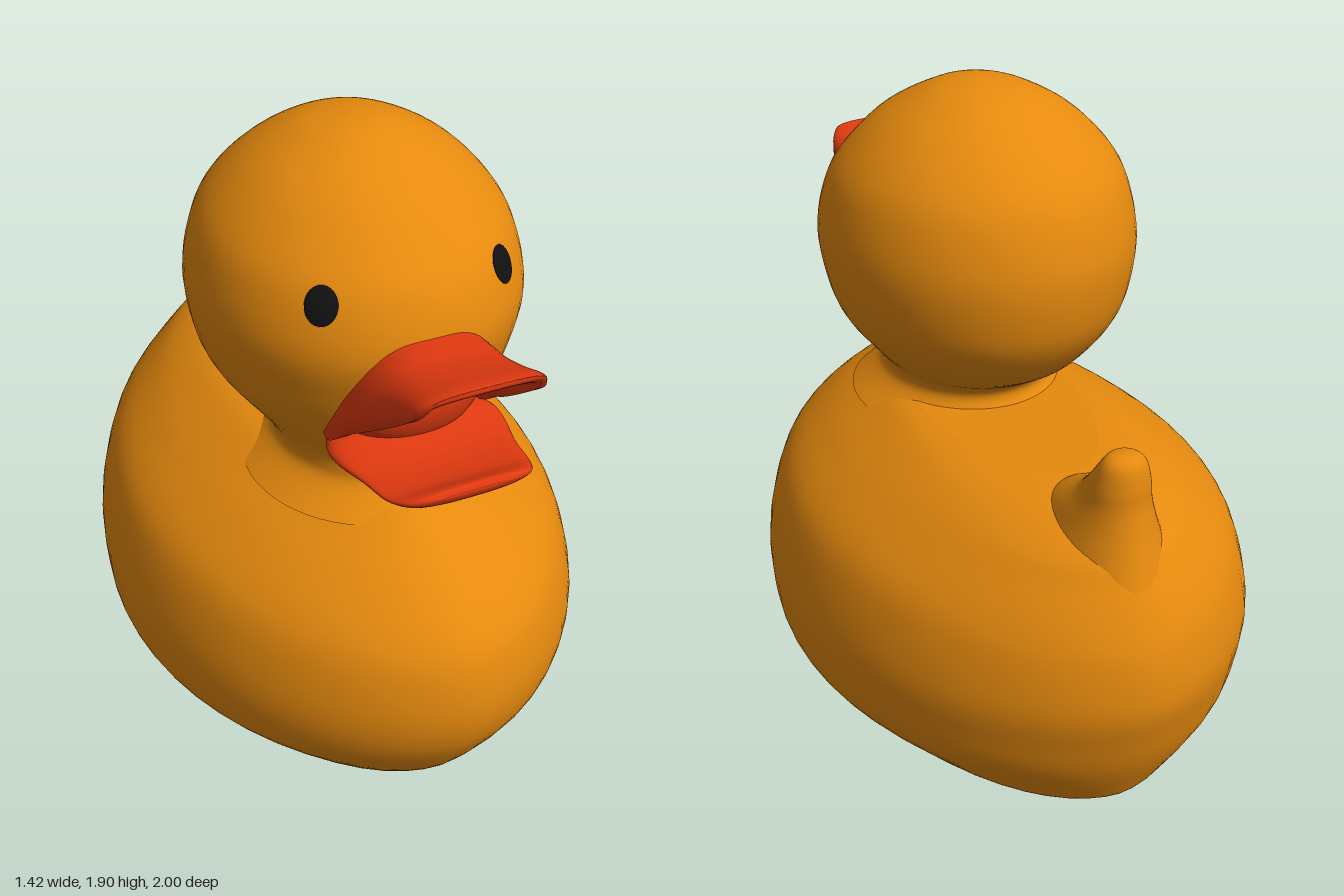
import * as THREE from 'three';

const plumage = new THREE.MeshStandardMaterial({ color: 0xe68a0e });
plumage.name = 'orange yellow';
const beakRed = new THREE.MeshStandardMaterial({ color: 0xe23a10, side: THREE.DoubleSide });
beakRed.name = 'beak red';
const black = new THREE.MeshStandardMaterial({ color: 0x111111 });
black.name = 'black';

// Catmull-Rom resampling of profile rows, column by column
function smoothRows(rows, steps) {
  const out = [];
  const at = (i) => rows[Math.max(0, Math.min(rows.length - 1, i))];
  for (let i = 0; i < rows.length - 1; i++) {
    for (let s = 0; s < steps; s++) {
      const t = s / steps;
      out.push(rows[i].map((p1, k) => {
        const p0 = at(i - 1)[k], p2 = at(i + 1)[k], p3 = at(i + 2)[k];
        return p1 + 0.5 * t * (p2 - p0 + t * (2 * p0 - 5 * p1 + 4 * p2 - p3 + t * (3 * (p1 - p2) + p3 - p0)));
      }));
    }
  }
  out.push(rows[rows.length - 1]);
  return out;
}

// Skin over closed rings of [x, y, z], with optional end caps
function loft(name, rings, material, caps = true) {
  const n = rings[0].length, pos = rings.flat(2), index = [];
  for (let i = 0; i < rings.length - 1; i++) {
    for (let j = 0; j < n; j++) {
      const a = i * n + j, b = i * n + (j + 1) % n;
      index.push(a, a + n, b, b, a + n, b + n);
    }
  }
  if (caps) {
    [rings[0], rings[rings.length - 1]].forEach((ring, end) => {
      const base = pos.length / 3;
      pos.push(...ring.flat());
      pos.push(...[0, 1, 2].map((k) => ring.reduce((sum, p) => sum + p[k], 0) / n));
      for (let j = 0; j < n; j++) {
        const a = base + j, b = base + (j + 1) % n;
        index.push(base + n, end ? b : a, end ? a : b);
      }
    });
  }
  const geo = new THREE.BufferGeometry();
  geo.setAttribute('position', new THREE.Float32BufferAttribute(pos, 3));
  geo.setIndex(index);
  geo.computeVertexNormals();
  const mesh = new THREE.Mesh(geo, material);
  mesh.name = name;
  return mesh;
}

const angles = (n) => Array.from({ length: n }, (_, j) => (j / n) * Math.PI * 2);

// Horizontal oval rings from rows of [y, halfWidth, frontZ, backZ]
function ovalLoft(name, rows, pinch = 1) {
  const rings = smoothRows(rows, 5).map(([y, w, f, b]) => angles(56).map((t) => {
    const c = Math.cos(t);
    return [w * Math.sign(c) * Math.abs(c) ** pinch, y, (f + b) / 2 + ((f - b) / 2) * Math.sin(t)];
  }));
  return loft(name, rings, plumage);
}

export function createModel() {
  const duck = new THREE.Group();
  duck.name = 'bathDuck';

  // Egg-shaped body with a flat base
  duck.add(ovalLoft('body', [
    [0.003, 0.42, 0.74, -0.77], [0.02, 0.49, 0.78, -0.83], [0.08, 0.57, 0.84, -0.87],
    [0.2, 0.685, 0.92, -0.93], [0.32, 0.71, 0.98, -0.97], [0.45, 0.705, 1, -1],
    [0.6, 0.665, 0.975, -0.985], [0.7, 0.61, 0.915, -0.95], [0.8, 0.5, 0.81, -0.9],
    [0.87, 0.4, 0.7, -0.85], [0.92, 0.31, 0.61, -0.72], [0.938, 0.24, 0.54, -0.5],
  ], 1.12));

  // Upturned tail
  duck.add(ovalLoft('tail', [
    [0.72, 0.18, -0.4, -0.93], [0.85, 0.16, -0.42, -0.885], [0.93, 0.13, -0.5, -0.862],
    [1.0, 0.1, -0.62, -0.848], [1.06, 0.085, -0.68, -0.845], [1.12, 0.065, -0.725, -0.835],
    [1.145, 0.04, -0.745, -0.815], [1.152, 0.005, -0.777, -0.783],
  ]));

  // Neck and head in one piece
  const head = ovalLoft('head', [
    [0.88, 0.36, 0.64, -0.12], [0.95, 0.275, 0.57, -0.06], [1.0, 0.265, 0.555, -0.07],
    [1.05, 0.295, 0.555, -0.15], [1.1, 0.335, 0.58, -0.22], [1.2, 0.41, 0.62, -0.3],
    [1.3, 0.45, 0.655, -0.34], [1.45, 0.47, 0.685, -0.355], [1.6, 0.44, 0.64, -0.32],
    [1.7, 0.385, 0.56, -0.26], [1.8, 0.285, 0.45, -0.15], [1.87, 0.165, 0.32, -0.03],
    [1.897, 0.08, 0.24, 0.07], [1.905, 0.008, 0.16, 0.145],
  ]);
  duck.add(head);

  // Upper beak: arched shell, rows of [halfWidth, edgeY, edgeZ, topY, topZ, thickness]
  const arch = Array.from({ length: 25 }, (_, j) => Math.PI * (1 - j / 24));
  const upper = smoothRows([
    [0.2, 1.16, 0.4, 1.46, 0.45, 0.06], [0.25, 1.18, 0.56, 1.5, 0.62, 0.06],
    [0.235, 1.25, 0.65, 1.505, 0.7, 0.06], [0.2, 1.33, 0.76, 1.505, 0.78, 0.055],
    [0.19, 1.4, 0.85, 1.52, 0.86, 0.05], [0.185, 1.46, 0.92, 1.54, 0.93, 0.04],
    [0.165, 1.505, 0.955, 1.545, 0.965, 0.02], [0.15, 1.525, 0.965, 1.54, 0.968, 0],
  ], 4).map(([w, ey, ez, ty, tz, th]) => {
    const side = (inset) => arch.map((t) => {
      const c = Math.cos(t), s = Math.max(0, Math.sin(t)) ** 0.65;
      const width = w + (Math.min(w, 0.19) - w) * s - inset * 0.6;
      return [width * Math.sign(c) * Math.abs(c) ** 0.65, ey + (ty - inset - ey) * s, ez + (tz - ez) * s];
    });
    return [...side(0), ...side(th).reverse()];
  });
  duck.add(loft('upperBeak', upper, beakRed, false));

  // Lower beak: flat scoop, rows of [z, halfWidth, centreY, halfHeight, dish]
  const lower = smoothRows([
    [0.45, 0.2, 1.14, 0.05, 0], [0.56, 0.25, 1.15, 0.05, 0], [0.64, 0.25, 1.148, 0.042, 0.01],
    [0.74, 0.225, 1.15, 0.03, 0.02], [0.84, 0.21, 1.163, 0.025, 0.015], [0.9, 0.185, 1.185, 0.028, 0.005],
    [0.925, 0.15, 1.198, 0.022, 0], [0.935, 0.1, 1.202, 0.006, 0],
  ], 4).map(([z, w, y, h, dish]) => angles(32).map((t) => {
    const c = Math.cos(t), s = Math.sin(t);
    return [w * Math.sign(c) * Math.abs(c) ** 0.75, y - h * s + dish * (c * c - 0.6), z];
  }));
  duck.add(loft('lowerBeak', lower, beakRed));

  // Back of the open mouth
  const mouth = new THREE.Mesh(new THREE.SphereGeometry(1, 32, 20), beakRed);
  mouth.name = 'mouth';
  mouth.scale.set(0.22, 0.18, 0.13);
  mouth.position.set(0, 1.29, 0.54);
  duck.add(mouth);

  // Eyes: thin ovals laid on the head surface
  head.updateMatrixWorld();
  for (const side of [1, -1]) {
    const ray = new THREE.Raycaster(new THREE.Vector3(side * 0.26, 1.595, 2), new THREE.Vector3(0, 0, -1));
    const hit = ray.intersectObject(head)[0];
    const eye = new THREE.Mesh(new THREE.SphereGeometry(1, 24, 12), black);
    eye.name = side > 0 ? 'leftEye' : 'rightEye';
    eye.scale.set(0.045, 0.054, 0.009);
    eye.position.copy(hit.point);
    eye.lookAt(hit.point.clone().add(hit.face.normal));
    duck.add(eye);
  }

  // Air hole in the base
  const hole = new THREE.Mesh(new THREE.CylinderGeometry(0.045, 0.045, 0.004, 24), black);
  hole.name = 'airHole';
  hole.position.y = 0.002;
  duck.add(hole);

  return duck;
}
